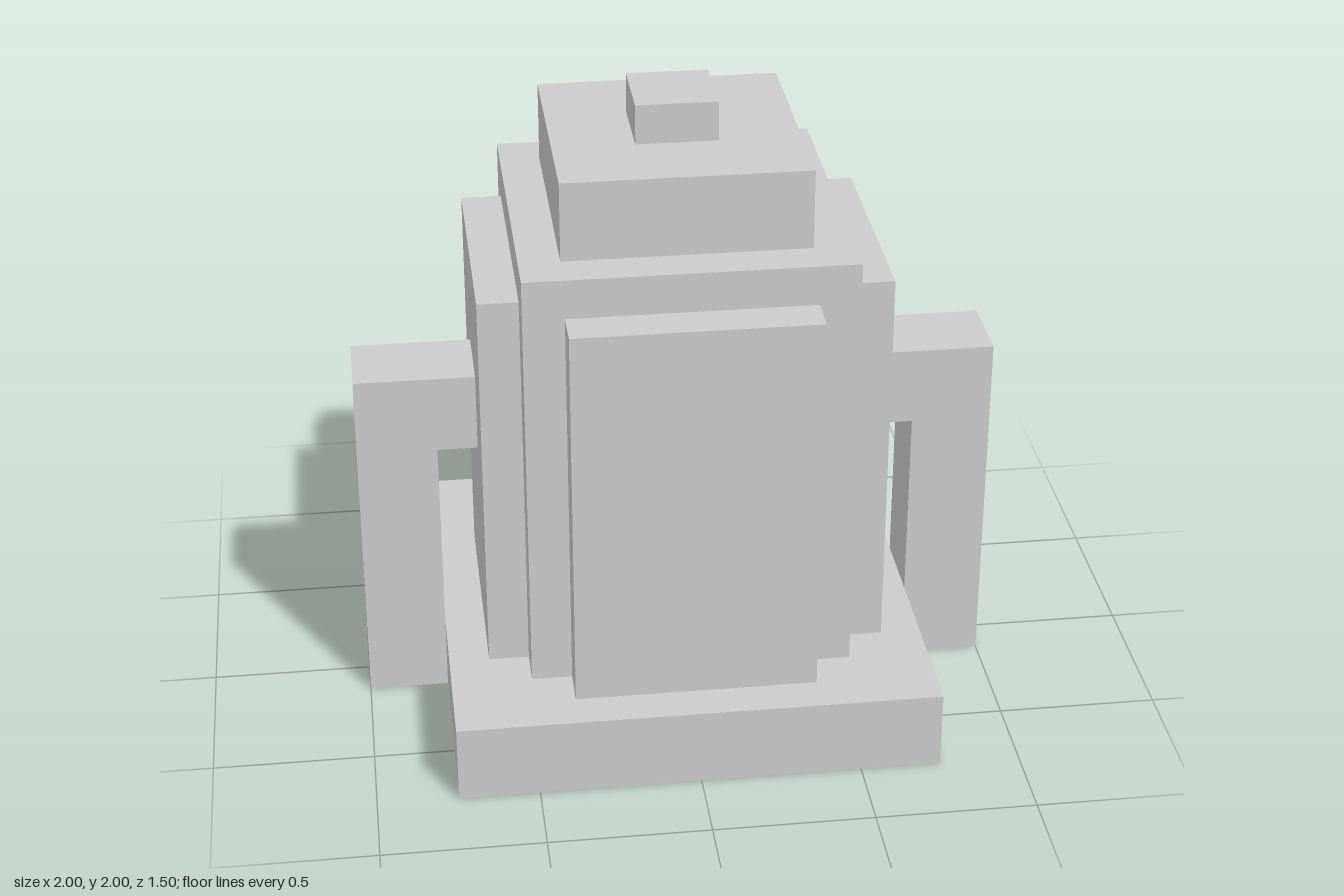
import * as THREE from 'three';

const material = new THREE.MeshStandardMaterial({ color: 0xcccccc, flatShading: true });

// Box standing on y0, reaching up to y1
function block(name, width, depth, y0, y1, x = 0, z = 0) {
  const mesh = new THREE.Mesh(new THREE.BoxGeometry(width, y1 - y0, depth), material);
  mesh.name = name;
  mesh.position.set(x, (y0 + y1) / 2, z);
  return mesh;
}

export function createModel() {
  const model = new THREE.Group();
  model.name = 'lantern';

  // Stacked core: plinth, body, cap and top knob
  model.add(
    block('base', 1.5, 1.5, 0, 0.25),
    block('body', 1, 1, 0.25, 1.625),
    block('cap', 0.75, 0.75, 1.625, 1.875),
    block('knob', 0.25, 0.25, 1.875, 2),
  );

  // Raised panels on the four faces
  for (const s of [1, -1]) {
    model.add(
      block(s > 0 ? 'frontPanel' : 'backPanel', 0.75, 0.125, 0.25, 1.5, 0, s * 0.5625),
      block(s > 0 ? 'leftPanel' : 'rightPanel', 0.125, 0.75, 0.25, 1.5, s * 0.5625, 0),
    );
  }

  // Bent side arms, from the side panels down to the ground
  const profile = new THREE.Shape([
    [0.75, 0], [1, 0], [1, 1.125], [0.625, 1.125], [0.625, 0.875], [0.75, 0.875],
  ].map(([x, y]) => new THREE.Vector2(x, y)));
  const armGeometry = new THREE.ExtrudeGeometry(profile, { depth: 0.25, bevelEnabled: false });
  armGeometry.translate(0, 0, -0.125);
  for (const side of ['left', 'right']) {
    const arm = new THREE.Mesh(armGeometry, material);
    arm.name = side + 'Arm';
    if (side === 'right') arm.rotation.y = Math.PI;
    model.add(arm);
  }

  return model;
}
